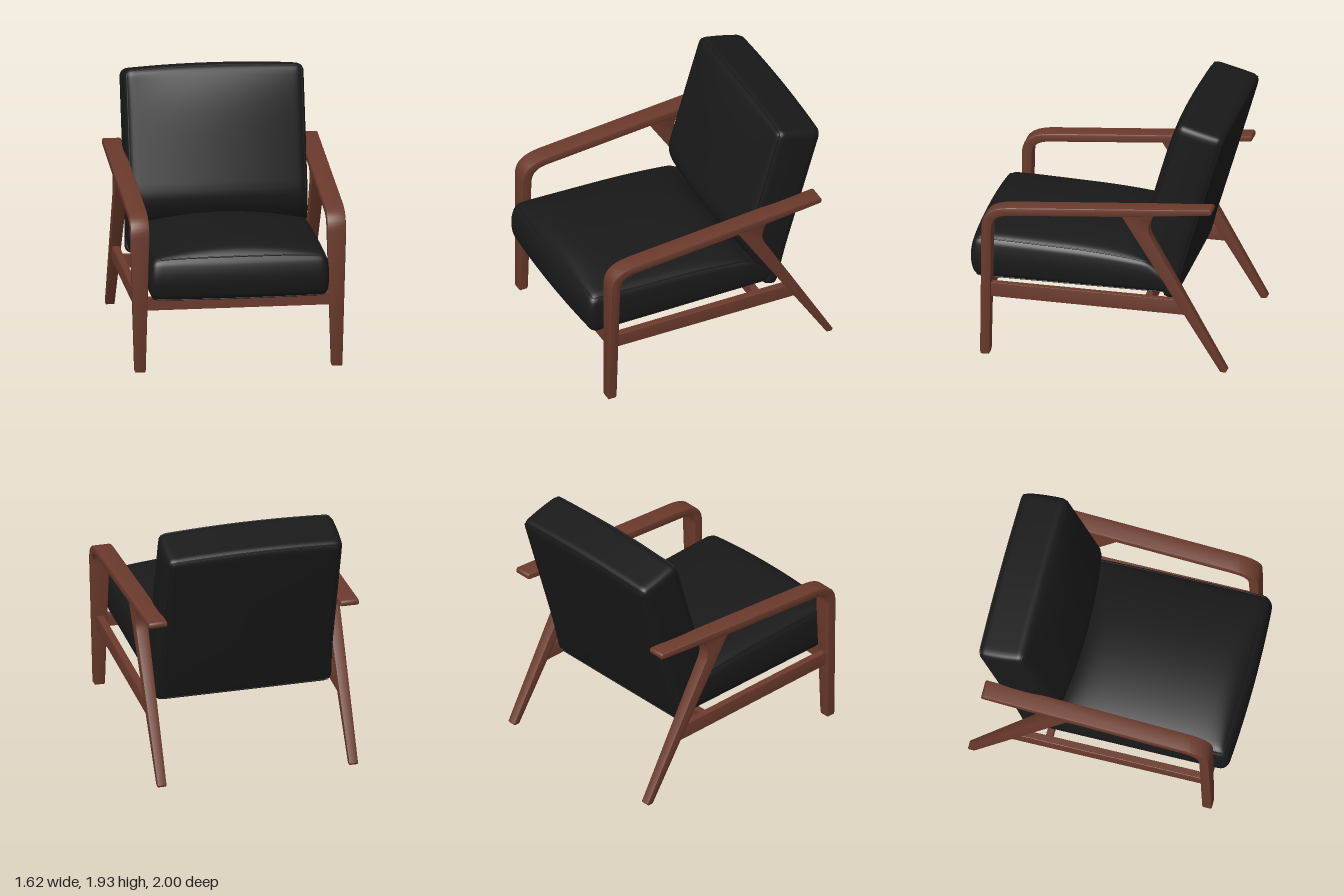
import * as THREE from 'three';
import { mergeVertices, toCreasedNormals } from 'three/addons/utils/BufferGeometryUtils.js';

const wood = new THREE.MeshStandardMaterial({ color: 0x6b3a2c });
wood.name = 'walnut wood';
const leather = new THREE.MeshStandardMaterial({ color: 0x191919 });
leather.name = 'black leather';

function add(parent, name, geometry, material) {
  const mesh = new THREE.Mesh(geometry, material);
  mesh.name = name;
  parent.add(mesh);
  return mesh;
}

// Extrudes a side profile drawn in (z, y) across x; halfWidth(y) tapers it.
function sidePart(shape, halfWidth) {
  const bevel = 0.007, depth = 0.1;
  const geo = new THREE.ExtrudeGeometry(shape, {
    depth: depth - 2 * bevel, curveSegments: 10,
    bevelEnabled: true, bevelSize: bevel, bevelThickness: bevel, bevelOffset: -bevel, bevelSegments: 2,
  });
  geo.translate(0, 0, -depth / 2 + bevel);
  geo.rotateY(-Math.PI / 2);
  const p = geo.attributes.position;
  for (let i = 0; i < p.count; i++) p.setX(i, (p.getX(i) / (depth / 2)) * halfWidth(p.getY(i)));
  return toCreasedNormals(geo, 0.6);
}

// Front leg that bends into the armrest
function armShape() {
  const s = new THREE.Shape();
  s.moveTo(0.81, 0);
  s.lineTo(0.87, 0);
  s.lineTo(0.877, 0.02);
  s.lineTo(0.862, 1.03);
  s.bezierCurveTo(0.86, 1.14, 0.80, 1.19, 0.65, 1.203);
  s.lineTo(-0.875, 1.312);
  s.quadraticCurveTo(-0.9, 1.3, -0.885, 1.27);
  s.lineTo(-0.86, 1.265);
  s.lineTo(-0.2, 1.2);
  s.lineTo(0.65, 1.137);
  s.bezierCurveTo(0.74, 1.13, 0.785, 1.1, 0.787, 1.01);
  s.lineTo(0.803, 0.02);
  return s;
}

// Raked back leg that flares under the armrest
function backLegShape() {
  const s = new THREE.Shape();
  s.moveTo(-0.95, 0);
  s.lineTo(-0.19, 1.215);
  s.lineTo(-0.46, 1.235);
  s.quadraticCurveTo(-0.375, 1.13, -0.43, 1.03);
  s.lineTo(-0.625, 0.685);
  s.lineTo(-1.0, 0.015);
  s.lineTo(-0.99, 0);
  return s;
}

function sideRailShape() {
  const s = new THREE.Shape();
  s.moveTo(0.83, 0.465);
  s.lineTo(0.83, 0.575);
  s.lineTo(-0.62, 0.55);
  s.lineTo(-0.69, 0.435);
  return s;
}

// Rounded block reshaped by warp(u, v, w, q), with piping along chosen edges
function makeCushion(name, half, r, warp, edges) {
  const group = new THREE.Group();
  group.name = name;
  const inner = half.clone().subScalar(r);
  const place = (p) => {
    const core = p.clone().clamp(inner.clone().negate(), inner);
    const q = p.clone().sub(core).setLength(r).add(core);
    return warp(q.x / half.x, q.y / half.y, q.z / half.z, q);
  };
  // spacing is tightened toward the edges
  const spread = (t) => Math.sin(t * Math.PI / 2);
  let geo = new THREE.BoxGeometry(2, 2, 2, 36, 36, 36);
  geo.deleteAttribute('uv');
  geo.deleteAttribute('normal');
  const pos = geo.attributes.position;
  for (let i = 0; i < pos.count; i++) {
    const p = new THREE.Vector3(spread(pos.getX(i)), spread(pos.getY(i)), spread(pos.getZ(i))).multiply(half);
    const q = place(p);
    pos.setXYZ(i, q.x, q.y, q.z);
  }
  geo = mergeVertices(geo, 1e-5);
  geo.computeVertexNormals();
  add(group, name + 'Body', geo, leather);

  // piping: walk round the perimeter of one face of the block
  for (const [axis, sign] of edges) {
    const pts = [];
    const corners = [[1, -1], [1, 1], [-1, 1], [-1, -1]];
    corners.forEach((a, k) => {
      const b = corners[(k + 1) % 4];
      for (let i = 0; i < 24; i++) {
        const t = (spread(i / 12 - 1) + 1) / 2;
        const m = a[0] + (b[0] - a[0]) * t, n = a[1] + (b[1] - a[1]) * t;
        const p = axis === 'y' ? new THREE.Vector3(m, sign, n) : new THREE.Vector3(m, n, sign);
        pts.push(place(p.multiply(half)));
      }
    });
    const path = new THREE.CatmullRomCurve3(pts, true);
    add(group, name + 'Piping', new THREE.TubeGeometry(path, 240, 0.006, 6, true), leather);
  }
  return group;
}

function seatWarp(u, v, w, q) {
  const t = (v + 1) / 2;
  const front = Math.max(w, 0), rear = Math.max(-w, 0);
  const top = 0.902 - 0.03 * (1 - w) - 0.035 * rear * rear - 0.012 * u ** 8;
  const bottom = 0.553 + 0.007 * w;
  const crown = 0.092 * (1 - u * u) * (1 - w ** 8) * t ** 3;
  return new THREE.Vector3(
    q.x + 0.018 * u * (1 - v * v),
    bottom + t * (top - bottom) + crown,
    0.29 + q.z + front * (0.025 * (1 - u * u) + 0.036 * (1 - v * v)) - rear * 0.23 * (1 - t * t));
}

function backWarp(u, v, w, q) {
  const f = (w + 1) / 2;
  const up = q.y + 0.642;
  // the front swells outward and tucks in behind the seat
  const low = Math.max(0, (0.4 - up) / 0.4);
  const tuck = Math.max(0.25, 1 - 1.1 * low * low);
  const puff = (1 - u * u) * (1 - v ** 4);
  const out = (f * (0.362 + 0.008 * up) + 0.063 * puff * f ** 3) * tuck - 0.012 * puff * (1 - f);
  const rise = up + 0.025 * (1 - u * u) * Math.max(v, 0) ** 2;
  return new THREE.Vector3(
    q.x + 0.01 * u * (1 - w * w),
    0.55 + 0.957 * rise + 0.265 * out,
    -0.585 - 0.284 * rise + 0.963 * out);
}

export function createModel() {
  const chair = new THREE.Group();
  chair.name = 'loungeChair';

  // Wooden side frames, mirrored
  const arm = sidePart(armShape(), (y) => 0.04 + 0.03 * Math.min(1, y / 1.03));
  const backLeg = sidePart(backLegShape(), (y) => 0.034 + 0.016 * Math.min(1, y / 1.2));
  const sideRail = sidePart(sideRailShape(), () => 0.028);
  for (const [side, x] of [['left', 1], ['right', -1]]) {
    const frame = new THREE.Group();
    frame.name = side + 'Frame';
    frame.position.x = x * 0.738;
    add(frame, 'frontLegAndArm', arm, wood);
    add(frame, 'backLeg', backLeg, wood);
    add(frame, 'sideRail', sideRail, wood);
    chair.add(frame);
  }

  // Cross rails under the seat
  add(chair, 'frontRail', new THREE.BoxGeometry(1.42, 0.095, 0.05), wood).position.set(0, 0.522, 0.835);
  add(chair, 'rearRail', new THREE.BoxGeometry(1.46, 0.095, 0.05), wood).position.set(0, 0.5, -0.39);

  // Cushions
  chair.add(makeCushion('seatCushion', new THREE.Vector3(0.655, 0.165, 0.65), 0.055, seatWarp, [['y', 1], ['y', -1]]));
  chair.add(makeCushion('backCushion', new THREE.Vector3(0.67, 0.688, 0.175), 0.055, backWarp, [['z', 1], ['z', -1]]));
  return chair;
}
